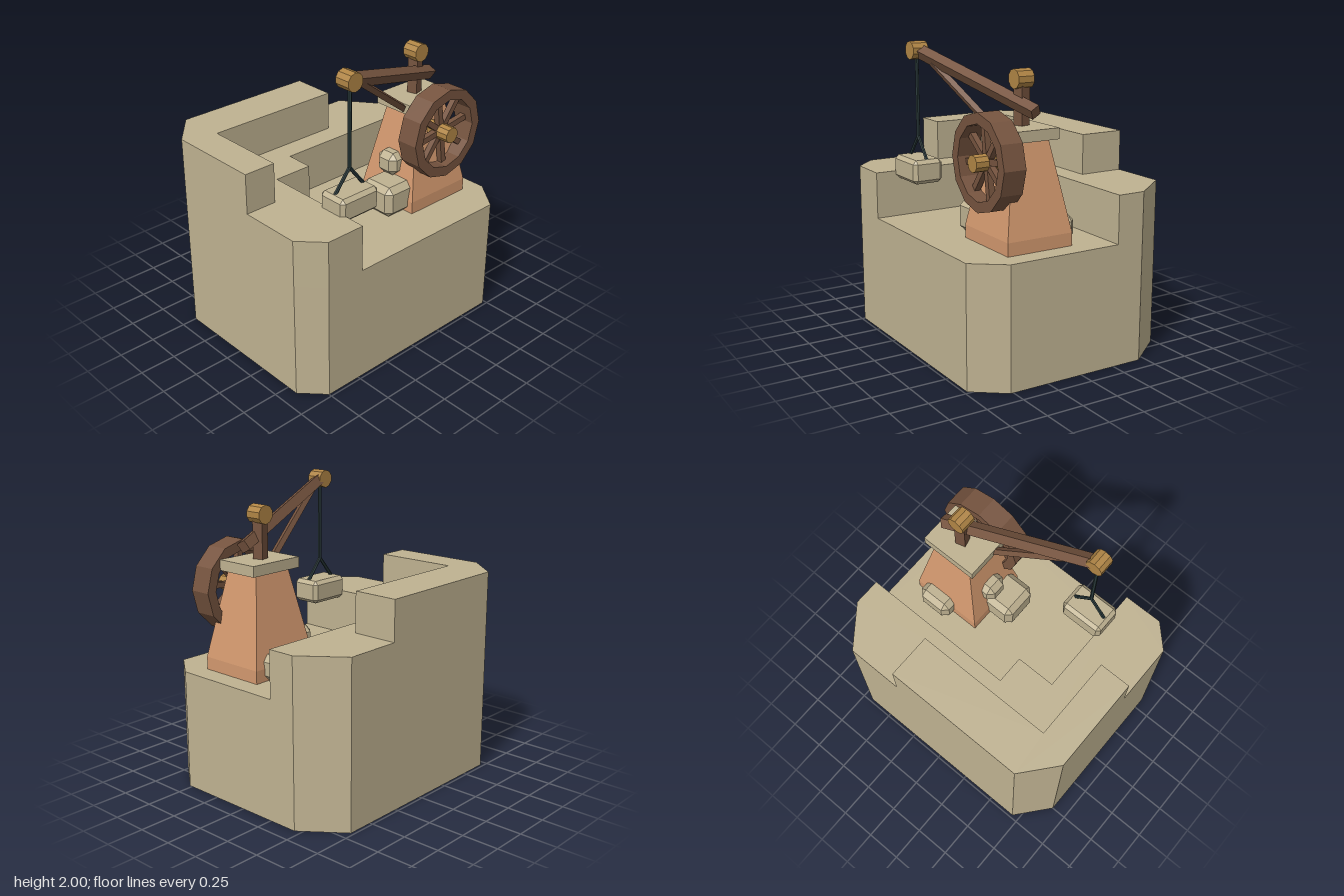
import * as THREE from 'three';
import { ConvexGeometry } from 'three/addons/geometries/ConvexGeometry.js';

const material = (name, color) => {
  const m = new THREE.MeshStandardMaterial({ color });
  m.name = name;
  return m;
};

export function createModel() {
  const model = new THREE.Group();
  model.name = 'quarryCrane';
  const stone = material('sandstone', 0xbfb291);
  const clay = material('clay', 0xd2986e);
  const wood = material('wood', 0x76543f);
  const brass = material('brass', 0xb08545);
  const rope = material('rope', 0x2a3a3b);

  const V = (x, y, z) => new THREE.Vector3(x, y, z);
  const add = (name, geometry, mat, parent = model) => {
    const mesh = new THREE.Mesh(geometry, mat);
    mesh.name = name;
    parent.add(mesh);
    return mesh;
  };
  // Faceted normals
  const flat = (g) => {
    const f = g.index ? g.toNonIndexed() : g;
    f.computeVertexNormals();
    return f;
  };
  // Straight prism between two points
  const beam = (name, a, b, radius, sides, mat) => {
    const g = flat(new THREE.CylinderGeometry(radius, radius, a.distanceTo(b), sides));
    const mesh = add(name, g, mat);
    mesh.position.copy(a).add(b).multiplyScalar(0.5);
    mesh.quaternion.setFromUnitVectors(V(0, 1, 0), b.clone().sub(a).normalize());
    return mesh;
  };
  // Stone block with every edge cut off
  const block = (name, min, max, cut) => {
    const c = min.clone().add(max).multiplyScalar(0.5);
    const h = max.clone().sub(min).multiplyScalar(0.5);
    const points = [];
    for (const sx of [-1, 1]) for (const sy of [-1, 1]) for (const sz of [-1, 1]) {
      for (let axis = 0; axis < 3; axis++) {
        const d = [0, 1, 2].map((i) => (i === axis ? 0 : cut));
        points.push(V(sx * (h.x - d[0]), sy * (h.y - d[1]), sz * (h.z - d[2])));
      }
    }
    add(name, new ConvexGeometry(points), stone).position.copy(c);
  };
  // Flat layer of rock from an outline of [x, z] points
  const layer = (name, outline, y0, y1) => {
    const shape = new THREE.Shape(outline.map(([x, z]) => new THREE.Vector2(x, -z)));
    const g = new THREE.ExtrudeGeometry(shape, { depth: y1 - y0, bevelEnabled: false });
    g.rotateX(-Math.PI / 2);
    add(name, g, stone).position.y = y0;
  };

  // Stepped rock
  layer('rockBase', [[-0.895, -0.5], [-0.7, -0.73], [0.68, -0.73], [0.89, -0.455],
    [0.89, 0.52], [0.73, 0.73], [-0.75, 0.73], [-0.895, 0.58]], 0, 0.805);
  layer('rockMiddleStep', [[-0.895, -0.5], [-0.7, -0.73], [0.68, -0.73], [0.89, -0.455],
    [0.89, -0.265], [-0.2, -0.265], [-0.2, -0.07], [-0.475, -0.07],
    [-0.475, 0.73], [-0.75, 0.73], [-0.895, 0.58]], 0.805, 1.12);
  layer('rockTopStep', [[-0.895, -0.5], [-0.7, -0.73], [0.29, -0.73], [0.29, -0.42],
    [-0.675, -0.42], [-0.675, 0.155], [-0.895, 0.155]], 1.12, 1.39);

  // Tower: straight foot, tapered body, stone cap
  const tower = (name, topScale, y0, y1) => {
    const r = Math.SQRT1_2;
    const g = new THREE.CylinderGeometry(r * topScale, r, y1 - y0, 4).rotateY(Math.PI / 4);
    g.scale(0.51, 1, 0.465);
    add(name, flat(g), clay).position.set(0.5, (y0 + y1) / 2, 0.224);
  };
  tower('towerFoot', 1, 0.805, 0.89);
  tower('towerBody', 0.55, 0.89, 1.47);
  add('towerCap', new THREE.BoxGeometry(0.4, 0.07, 0.306), stone).position.set(0.5, 1.505, 0.209);

  // Post and boom
  const post = add('post', new THREE.BoxGeometry(0.07, 0.26, 0.07), wood);
  post.position.set(0.5, 1.66, 0.2);
  post.rotation.y = 0.27;
  beam('boom', V(-0.35, 1.94, 0.47), V(0.65, 1.637, 0.195), 0.048, 4, wood);
  beam('boomStrut', V(-0.24, 1.89, 0.44), V(0.4, 1.44, 0.262), 0.027, 4, wood);

  // Brass rollers and hub, lying along z
  const roller = (name, x, y, z0, z1, r) =>
    beam(name, V(x, y, z0), V(x, y, z1), r, 10, brass);
  roller('boomPulley', -0.35, 1.94, 0.417, 0.527, 0.061);
  roller('postRoller', 0.5, 1.825, 0.145, 0.257, 0.062);
  roller('wheelHub', 0.5, 1.335, 0.36, 0.55, 0.055);

  // Winding wheel
  const wheel = new THREE.Group();
  wheel.name = 'wheel';
  wheel.position.set(0.5, 1.335, 0.363);
  model.add(wheel);
  const ring = (r) => Array.from({ length: 12 }, (_, i) =>
    new THREE.Vector2(r * Math.cos(i * Math.PI / 6), r * Math.sin(i * Math.PI / 6)));
  const rim = new THREE.Shape(ring(0.309));
  rim.holes.push(new THREE.Path(ring(0.24)));
  add('wheelRim', new THREE.ExtrudeGeometry(rim, { depth: 0.152, bevelEnabled: false }), wood, wheel);
  for (let i = 0; i < 8; i++) {
    const g = new THREE.BoxGeometry(0.23, 0.04, 0.04).translate(0.135, 0, 0);
    const spoke = add('wheelSpoke', g, wood, wheel);
    spoke.position.z = 0.077;
    spoke.rotation.z = 0.14 + i * Math.PI / 4;
  }

  // Rope with a two-legged sling
  const knot = V(-0.348, 1.37, 0.475);
  beam('rope', V(-0.348, 1.92, 0.475), knot, 0.013, 6, rope);
  for (const side of [-1, 1]) {
    beam('slingLeg', knot, V(-0.348 + side * 0.125, 1.215, 0.475), 0.012, 6, rope);
  }

  // Cut stone blocks
  block('hangingBlock', V(-0.505, 1.07, 0.373), V(-0.193, 1.23, 0.585), 0.025);
  block('lowerBlock', V(0.065, 0.805, 0.145), V(0.33, 1.02, 0.415), 0.04);
  block('upperBlock', V(0.212, 1.02, 0.133), V(0.38, 1.18, 0.3), 0.04);
  block('backBlock', V(0.435, 0.805, -0.095), V(0.683, 0.975, 0.1), 0.04);

  return model;
}
